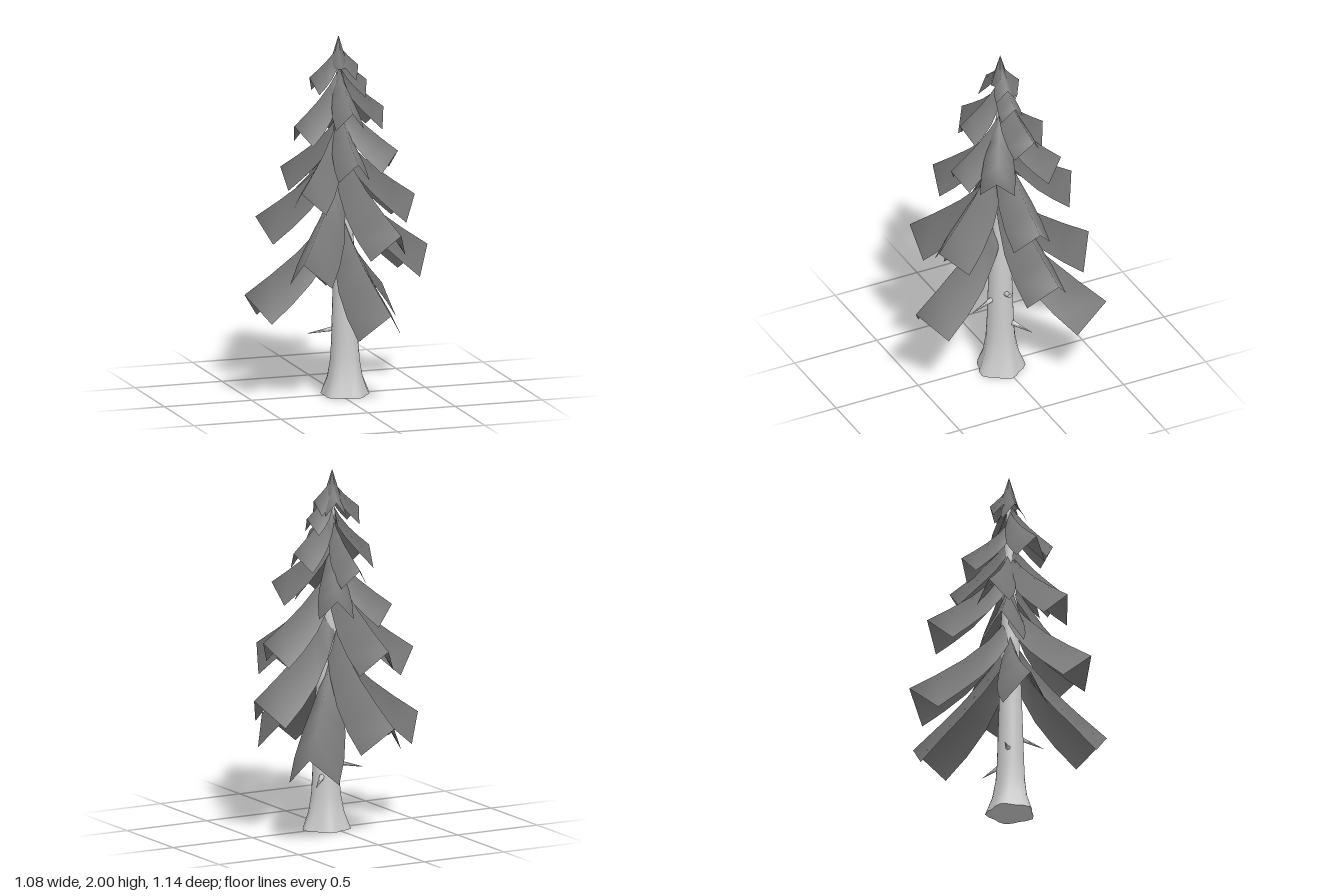
import * as THREE from 'three';

const trunkMaterial = new THREE.MeshStandardMaterial({ color: 0xcccccc });
const needleMaterial = new THREE.MeshStandardMaterial({ color: 0x747474, side: THREE.DoubleSide });

// Tip position of every drooping bough, lowest tier first
const BOUGH_TIPS = [
  [-0.54, 0.59, 0.0], [-0.06, 0.65, -0.57], [0.40, 0.50, -0.445], [0.11, 0.545, 0.57],
  [0.54, 0.78, -0.085], [-0.33, 0.82, 0.385], [0.20, 0.965, 0.475], [-0.43, 0.99, -0.14],
  [-0.08, 1.06, -0.475], [0.445, 1.08, -0.02],
  [-0.30, 1.19, 0.26], [-0.275, 1.25, -0.175], [0.14, 1.33, -0.30], [0.01, 1.34, 0.305],
  [0.285, 1.37, 0.165], [-0.02, 1.48, -0.27], [-0.285, 1.53, 0.09], [0.28, 1.57, -0.065],
  [0.0, 1.61, 0.245],
  [0.165, 1.74, -0.01], [-0.168, 1.775, 0.0], [0.11, 1.83, 0.01], [0.03, 1.83, -0.1],
];

// Linear lookup in a list of [position, value] pairs
function sample(pairs, p) {
  for (let i = 1; i < pairs.length; i++) {
    const [a, va] = pairs[i - 1], [b, vb] = pairs[i];
    if (p <= b) return va + (vb - va) * (p - a) / (b - a);
  }
  return pairs[pairs.length - 1][1];
}

// Sheet folded along its ridge, ending in a point
function boughGeometry([tx, ty, tz]) {
  const r = Math.hypot(tx, tz), dx = tx / r, dz = tz / r;
  const halfWidth = 0.04 + 0.165 * r, drop = 0.06 + 0.16 * r;
  const stations = [[0.04, 0.35], [0.2, 0.58], [0.45, 0.86], [0.72, 1], [1, 1]];
  const pos = [], index = [];
  stations.forEach(([f, w], i) => {
    const y = Math.min(1.98, ty + 0.62 * r * (1 - f) + 0.22 * r * (1 - f) ** 4 + 0.03 * (1 - f));
    for (const side of [-1, 0, 1]) {
      const along = r * f * (side ? 0.79 : 1), across = side * halfWidth * w;
      pos.push(dx * along - dz * across, y - (side ? drop : 0), dz * along + dx * across);
    }
    if (i === 0) return;
    const a = (i - 1) * 3, b = i * 3;
    for (const k of [0, 1]) {
      index.push(a + k, a + k + 1, b + k, a + k + 1, b + k + 1, b + k);
    }
  });
  const geo = new THREE.BufferGeometry();
  geo.setAttribute('position', new THREE.Float32BufferAttribute(pos, 3));
  geo.setIndex(index);
  geo.computeVertexNormals();
  return geo;
}

// Tapered trunk with a flared, lobed foot
function trunkGeometry() {
  const radii = [[0, 0.128], [0.1, 0.095], [0.22, 0.077], [0.6, 0.065], [1.2, 0.045], [1.95, 0.005]];
  const geo = new THREE.CylinderGeometry(1, 1, 1.95, 20, 20);
  const p = geo.attributes.position;
  for (let i = 0; i < p.count; i++) {
    const y = p.getY(i) + 0.975;
    const angle = Math.atan2(p.getZ(i), p.getX(i));
    const lobe = 1 + 0.09 * Math.cos(5 * angle) * Math.max(0, 1 - y / 0.25);
    const radius = sample(radii, y) * lobe;
    const lean = sample([[0, 1], [0.7, 0.9], [1.6, 0], [2, 0]], y);
    p.setXYZ(i, p.getX(i) * radius + 0.032 * lean, y, p.getZ(i) * radius + 0.016 * lean);
  }
  geo.computeVertexNormals();
  return geo;
}

// Dead twig: a thin spike between two points
function twig(from, to, radius, endRadius) {
  const a = new THREE.Vector3(...from), b = new THREE.Vector3(...to);
  const dir = b.clone().sub(a);
  const mesh = new THREE.Mesh(new THREE.CylinderGeometry(endRadius, radius, dir.length(), 6), trunkMaterial);
  mesh.position.copy(a).add(b).multiplyScalar(0.5);
  mesh.quaternion.setFromUnitVectors(new THREE.Vector3(0, 1, 0), dir.normalize());
  mesh.name = 'twig';
  return mesh;
}

export function createModel() {
  const tree = new THREE.Group();
  tree.name = 'coniferTree';

  const trunk = new THREE.Mesh(trunkGeometry(), trunkMaterial);
  trunk.name = 'trunk';
  tree.add(trunk);

  const twigs = new THREE.Group();
  twigs.name = 'twigs';
  twigs.add(
    twig([0.0, 0.37, 0.0], [-0.16, 0.335, -0.06], 0.017, 0.001),
    twig([0.06, 0.31, -0.01], [0.165, 0.26, -0.11], 0.02, 0.001),
    twig([0.04, 0.47, 0.04], [0.08, 0.43, 0.21], 0.017, 0.001),
    twig([0.05, 0.50, 0.015], [0.135, 0.515, 0.01], 0.018, 0.012),
  );
  tree.add(twigs);

  const boughs = new THREE.Group();
  boughs.name = 'boughs';
  for (const tip of BOUGH_TIPS) {
    const bough = new THREE.Mesh(boughGeometry(tip), needleMaterial);
    bough.name = 'bough';
    boughs.add(bough);
  }
  tree.add(boughs);

  // Pointed crown at the very top
  const crown = new THREE.Mesh(new THREE.ConeGeometry(0.055, 0.18, 6, 1, true), needleMaterial);
  crown.position.y = 1.91;
  crown.name = 'crown';
  tree.add(crown);

  return tree;
}
